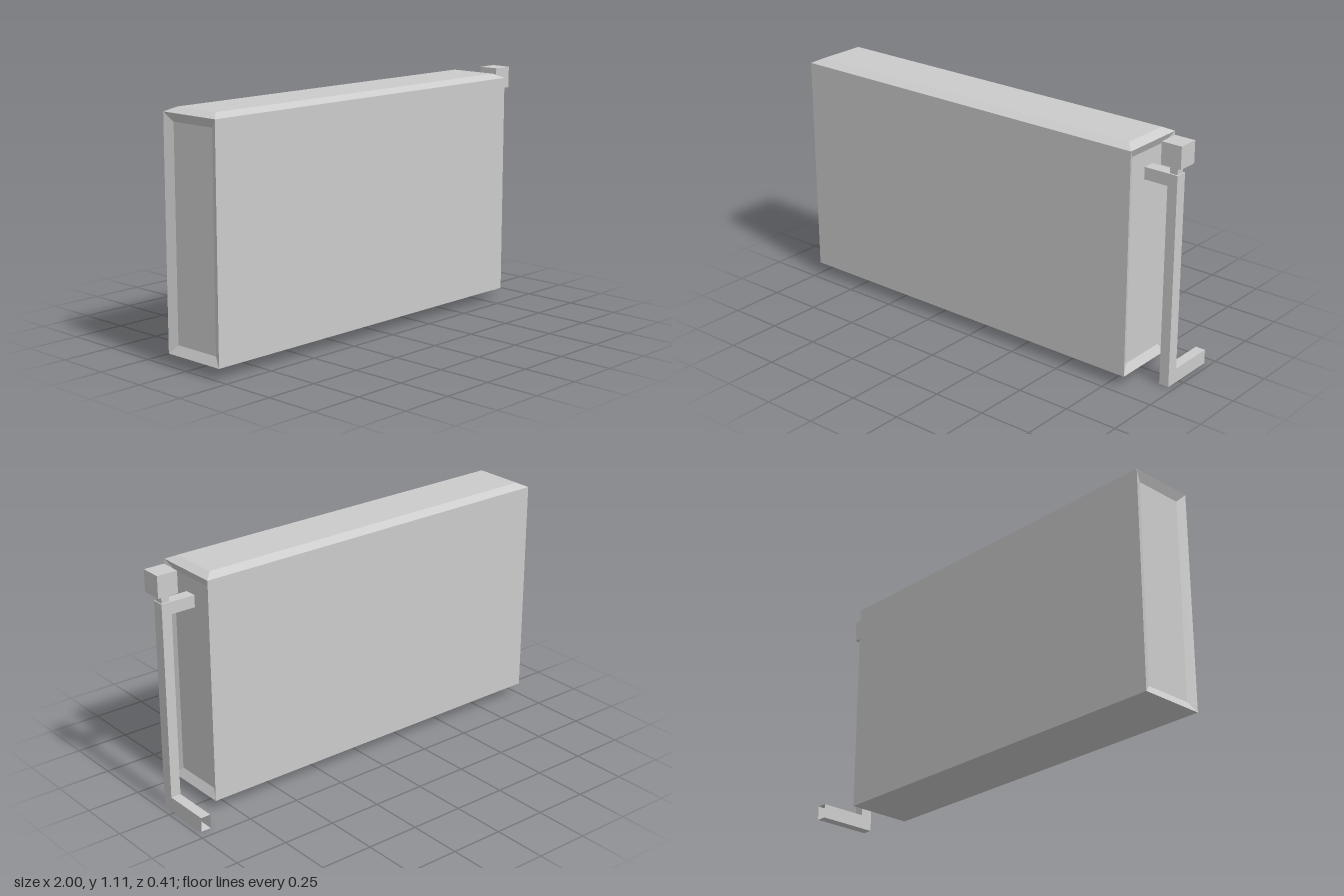
import * as THREE from 'three';

const material = new THREE.MeshStandardMaterial({ color: 0xcccccc, flatShading: true, side: THREE.DoubleSide });

// Flat-shaded mesh from a list of four-cornered faces (counter-clockwise)
function quadMesh(name, quads) {
  const positions = quads.flatMap(([a, b, c, d]) => [a, b, c, a, c, d].flat());
  const geometry = new THREE.BufferGeometry();
  geometry.setAttribute('position', new THREE.Float32BufferAttribute(positions, 3));
  geometry.computeVertexNormals();
  const mesh = new THREE.Mesh(geometry, material);
  mesh.name = name;
  return mesh;
}

// A face with a bevelled border: the inner panel is shifted by offset
function panelledFace(corners, inset, offset) {
  const centre = [0, 1, 2].map(k => corners.reduce((sum, p) => sum + p[k], 0) / 4);
  const inner = corners.map(p => p.map((v, k) => {
    const d = centre[k] - v;
    return v + (Math.abs(d) > 1e-6 ? Math.sign(d) * inset : 0) + offset[k];
  }));
  const border = corners.map((p, i) => {
    const j = (i + 1) % 4;
    return [p, corners[j], inner[j], inner[i]];
  });
  return [...border, inner];
}

function box(name, min, max) {
  const size = max.map((v, k) => v - min[k]);
  const mesh = new THREE.Mesh(new THREE.BoxGeometry(...size), material);
  mesh.position.set(...max.map((v, k) => (v + min[k]) / 2));
  mesh.name = name;
  return mesh;
}

// Radiator body: raised top panel, recessed end panels
function createBody() {
  const x0 = -1, x1 = 0.83, y0 = 0.055, y1 = 1.08, z0 = -0.11, z1 = 0.205;
  const inset = 0.04, depth = 0.02;
  return quadMesh('radiatorBody', [
    [[x0, y0, z1], [x1, y0, z1], [x1, y1, z1], [x0, y1, z1]],
    [[x1, y0, z0], [x0, y0, z0], [x0, y1, z0], [x1, y1, z0]],
    [[x0, y0, z0], [x1, y0, z0], [x1, y0, z1], [x0, y0, z1]],
    ...panelledFace([[x0, y1, z1], [x1, y1, z1], [x1, y1, z0], [x0, y1, z0]], inset, [0, depth, 0]),
    ...panelledFace([[x1, y0, z1], [x1, y0, z0], [x1, y1, z0], [x1, y1, z1]], inset, [-depth, 0, 0]),
    ...panelledFace([[x0, y0, z0], [x0, y0, z1], [x0, y1, z1], [x0, y1, z0]], inset, [depth, 0, 0]),
  ]);
}

// Square pipe with mitred bends: out of the body, down, then back to the wall; ends open
function createPipe() {
  const xo = 0.972, xi = 0.925, zf = 0.075, zb = 0.02, yt = 0.97, yu = 0.915, yf = 0.066;
  const start = 0.81, wall = -0.205;
  const rings = [
    [[start, yt, zf], [start, yt, zb], [start, yu, zb], [start, yu, zf]],
    [[xo, yt, zf], [xo, yt, zb], [xi, yu, zb], [xi, yu, zf]],
    [[xo, 0, zf], [xo, yf, zb], [xi, yf, zb], [xi, 0, zf]],
    [[xo, 0, wall], [xo, yf, wall], [xi, yf, wall], [xi, 0, wall]],
  ];
  const quads = [];
  for (let r = 0; r < rings.length - 1; r++) {
    for (let i = 0; i < 4; i++) {
      const j = (i + 1) % 4;
      quads.push([rings[r][i], rings[r + 1][i], rings[r + 1][j], rings[r][j]]);
    }
  }
  return quadMesh('supplyPipe', quads);
}

export function createModel() {
  const group = new THREE.Group();
  group.name = 'radiator';
  group.add(
    createBody(),
    createPipe(),
    box('valveStem', [0.93, 0.965, 0.028], [0.967, 1.015, 0.067]),
    box('valveKnob', [0.903, 1.01, -0.001], [1, 1.11, 0.096]),
  );
  return group;
}
